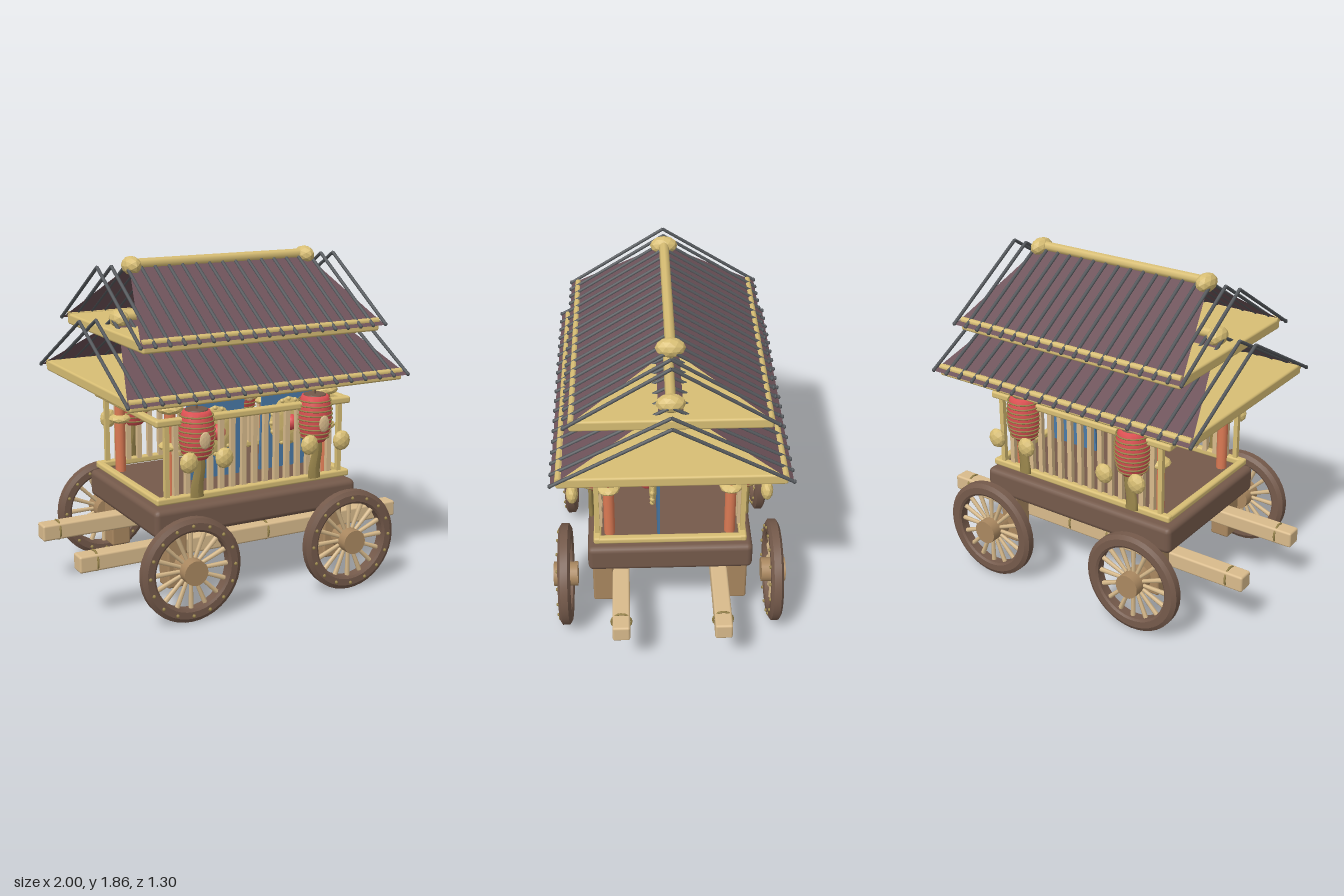
import * as THREE from 'three';
import { toCreasedNormals } from 'three/addons/utils/BufferGeometryUtils.js';
import { RoundedBoxGeometry } from 'three/addons/geometries/RoundedBoxGeometry.js';

const paint = (name, color, side = THREE.FrontSide) => {
  const m = new THREE.MeshStandardMaterial({ color, side });
  m.name = name;
  return m;
};

export function createModel() {
  const M = {
    gold: paint('gold', 0xd8be74),
    roof: paint('plum roof', 0x6d5259, THREE.DoubleSide),
    iron: paint('dark iron', 0x54585c),
    brown: paint('dark brown', 0x755a4b),
    tan: paint('tan timber', 0xd9bb8c),
    wood: paint('mid wood', 0xaa8860),
    red: paint('lantern red', 0xdc5052),
    orange: paint('post orange', 0xdc7a54),
    blue: paint('panel blue', 0x4a7aa8, THREE.DoubleSide),
    khaki: paint('khaki', 0x9a864c),
  };
  const cart = new THREE.Group();
  cart.name = 'festivalCart';

  const add = (parent, name, geo, mat, x = 0, y = 0, z = 0) => {
    const mesh = new THREE.Mesh(geo, mat);
    mesh.name = name;
    mesh.position.set(x, y, z);
    parent.add(mesh);
    return mesh;
  };
  const group = (name, parent = cart) => {
    const g = new THREE.Group();
    g.name = name;
    parent.add(g);
    return g;
  };
  const box = (w, h, d) => new THREE.BoxGeometry(w, h, d);
  const rounded = (w, h, d, r) => new RoundedBoxGeometry(w, h, d, 2, r);
  // Faceted ellipsoid
  const knob = (rx, ry, rz) => {
    const g = new THREE.IcosahedronGeometry(1, 1).scale(rx, ry, rz);
    g.computeVertexNormals();
    return g;
  };
  // Round bar between two points
  const bar = (parent, name, a, b, r, mat) => {
    const from = new THREE.Vector3(...a), to = new THREE.Vector3(...b);
    const dir = to.clone().sub(from);
    const mesh = add(parent, name, new THREE.CylinderGeometry(r, r, dir.length(), 8), mat);
    mesh.position.copy(from).addScaledVector(dir, 0.5);
    mesh.quaternion.setFromUnitVectors(new THREE.Vector3(0, 1, 0), dir.normalize());
    return mesh;
  };

  // Chassis, legs and carrying beams
  add(cart, 'chassis', rounded(1.25, 0.155, 0.9, 0.03), M.brown, 0, 0.5, 0);
  for (const s of [-1, 1]) {
    for (const x of [-0.49, 0.49]) {
      add(cart, 'leg', rounded(0.115, 0.3, 0.115, 0.012), M.wood, x, 0.28, s * 0.373);
    }
    add(cart, 'carryingBeam', rounded(2, 0.092, 0.094, 0.012), M.tan, 0, 0.308, s * 0.273);
    for (const x of [-0.9, -0.13, 0.13, 0.9]) {
      const ring = add(cart, 'beamBand', new THREE.TorusGeometry(0.054, 0.006, 6, 16), M.khaki, x, 0.308, s * 0.273);
      ring.rotation.y = Math.PI / 2;
    }
  }

  // Wheels
  const rimProfile = [[0.213, -0.026], [0.225, -0.034], [0.262, -0.034], [0.285, -0.02], [0.285, 0.02],
    [0.262, 0.034], [0.225, 0.034], [0.213, 0.026], [0.213, -0.026]].map(p => new THREE.Vector2(...p));
  const rimGeo = toCreasedNormals(new THREE.LatheGeometry(rimProfile, 40).rotateX(Math.PI / 2), 0.4);
  const hubGeo = new THREE.CylinderGeometry(0.068, 0.068, 0.135, 20).rotateX(Math.PI / 2);
  const spokeGeo = new THREE.CylinderGeometry(0.014, 0.01, 0.17, 6).translate(0, 0.14, 0);
  const studGeo = new THREE.SphereGeometry(0.01, 6, 5);
  for (const x of [-0.49, 0.49]) for (const s of [-1, 1]) {
    const wheel = group('wheel');
    wheel.position.set(x, 0.286, s * 0.583);
    add(wheel, 'rim', rimGeo, M.brown);
    add(wheel, 'hub', hubGeo, M.wood);
    for (let i = 0; i < 16; i++) {
      const a = (i / 16) * Math.PI * 2;
      add(wheel, 'spoke', spokeGeo, M.tan).rotation.z = a;
      add(wheel, 'rimStud', studGeo, M.khaki, Math.sin(a) * 0.247, Math.cos(a) * 0.247, 0.036);
    }
  }

  // Railings: frames all round, balusters on the long sides
  const balusterGeo = box(0.028, 0.4, 0.026);
  for (const s of [-1, 1]) {
    for (const y of [0.613, 1.036]) {
      add(cart, 'longRail', rounded(1.2, 0.04, 0.042, 0.012), M.gold, 0, y, s * 0.395);
      add(cart, 'endRail', rounded(0.042, 0.036, 0.79, 0.012), M.gold, s * 0.58, y, 0);
    }
    for (const x of [-0.535, 0.535]) add(cart, 'cornerPost', box(0.026, 0.42, 0.026), M.gold, x, 0.825, s * 0.395);
    for (let i = 0; i < 15; i++) add(cart, 'baluster', balusterGeo, M.tan, (i - 7) * 0.068, 0.825, s * 0.382);
  }

  // Inner posts with gold collars
  for (const x of [-0.48, 0.48]) for (const z of [-0.33, 0.33]) {
    add(cart, 'post', new THREE.CylinderGeometry(0.03, 0.03, 0.52, 12), M.orange, x, 0.835, z);
    add(cart, 'postCap', knob(0.075, 0.032, 0.075), M.gold, x, 1.094, z);
    add(cart, 'postCollar', knob(0.064, 0.028, 0.064), M.gold, x, 0.89, z);
  }

  // Hanging lanterns, each with two gold bells and a tassel
  const lanternProfile = [[0, -0.13], [0.06, -0.13], [0.08, -0.1], [0.092, -0.045], [0.096, 0.01],
    [0.092, 0.06], [0.084, 0.1], [0.072, 0.13], [0, 0.13]].map(p => new THREE.Vector2(...p));
  const lanternGeo = new THREE.LatheGeometry(lanternProfile, 16);
  const bellGeo = knob(0.052, 0.057, 0.034);
  const tasselGeo = new THREE.CylinderGeometry(0.03, 0.04, 0.21, 8, 6);
  const tp = tasselGeo.attributes.position;
  for (let i = 0; i < tp.count; i++) {
    tp.setX(i, tp.getX(i) + 0.01 * Math.sin(tp.getY(i) * 22));
    tp.setZ(i, tp.getZ(i) * 0.4);
  }
  tasselGeo.computeVertexNormals();
  for (const x of [-0.365, 0.365]) for (const z of [-0.41, 0.41]) {
    const lantern = group('lantern');
    lantern.position.set(x, 0.96, z);
    add(lantern, 'lanternBody', lanternGeo, M.red);
    add(lantern, 'lanternCap', new THREE.CylinderGeometry(0.06, 0.068, 0.02, 16), M.brown, 0, 0.126, 0);
    for (let i = 0; i < 9; i++) {
      const y = -0.104 + i * 0.026;
      const r = 0.0985 - 1.25 * (y - 0.015) ** 2;
      add(lantern, 'lanternRib', new THREE.TorusGeometry(r, 0.0045, 6, 20).rotateX(Math.PI / 2), M.khaki, 0, y, 0);
    }
    add(lantern, 'lanternEmblem', knob(0.033, 0.048, 0.01), M.tan, 0, -0.014, 0.099);
    add(lantern, 'cord', new THREE.CylinderGeometry(0.005, 0.005, 0.1, 6), M.brown, 0, 0.17, 0);
    add(lantern, 'tassel', tasselGeo, M.khaki, 0, -0.235, Math.sign(z) * 0.02);
    for (const dx of [-0.103, 0.103]) add(lantern, 'bell', bellGeo, M.gold, dx, -0.115, Math.sign(z) * 0.117);
  }

  // Blue hanging panels with a studded gold gong and red boss
  const panelShape = new THREE.Shape([[-0.2, -0.28], [0.145, -0.28], [0.185, 0.27], [0, 0.285], [-0.18, 0.29]]
    .map(p => new THREE.Vector2(...p)));
  const panelGeo = new THREE.ExtrudeGeometry(panelShape, { depth: 0.014, bevelEnabled: false });
  for (const x of [-0.062, 0.415]) {
    add(cart, 'bluePanel', panelGeo, M.blue, x, 0.872, 0.055);
    const gong = group('gong');
    gong.position.set(x - 0.025, 0.866, 0.09);
    add(gong, 'gongDisc', knob(0.125, 0.146, 0.024), M.gold);
    for (let i = 0; i < 16; i++) {
      const a = (i / 16) * Math.PI * 2;
      add(gong, 'gongStud', new THREE.SphereGeometry(0.014, 8, 6), M.gold, Math.cos(a) * 0.112, Math.sin(a) * 0.132, 0.004);
    }
    add(gong, 'gongBoss', new THREE.SphereGeometry(0.046, 14, 10), M.red, 0, 0, 0.032);
  }

  // Two stacked roofs: slab, tapering slopes, rods, eave bars and ridge
  const buildRoof = (name, o) => {
    const roof = group(name);
    add(roof, 'eaveSlab', rounded(o.slabX * 2, 0.06, o.slabZ * 2, 0.012), M.gold, 0, o.slabY, 0);
    for (const s of [-1, 1]) {
      const yE = o.eaveY - 0.005, yR = o.ridgeY - 0.005, zE = s * o.eaveZ;
      const slope = new THREE.BufferGeometry();
      slope.setAttribute('position', new THREE.Float32BufferAttribute([
        -o.baseX, yE, zE, o.baseX, yE, zE, o.topX, yR, 0, -o.topX, yR, 0], 3));
      slope.setIndex(s > 0 ? [0, 1, 2, 0, 2, 3] : [0, 2, 1, 0, 3, 2]);
      slope.computeVertexNormals();
      add(roof, 'slope', slope, M.roof);
      for (let i = 0; i < 19; i++) {
        const x = o.rodX * (i / 9 - 1);
        bar(roof, 'roofRod', [x, o.eaveY, zE], [x, o.ridgeY, 0], 0.0095, M.iron);
        add(roof, 'rodTip', new THREE.SphereGeometry(0.012, 6, 5), M.iron, x, o.eaveY, zE);
      }
      // Eave bar sunk so the rods cross over it
      const z = o.eaveZ - 0.04;
      const y = o.eaveY + (o.ridgeY - o.eaveY) * 0.04 / o.eaveZ - 0.01;
      bar(roof, 'eaveBar', [-o.slabX, y, s * z], [o.slabX, y, s * z], 0.018, M.gold);
      add(roof, 'ridgeKnob', knob(0.05, 0.051, 0.077), M.gold, s * o.knobX, o.ridgeY - 0.002, 0);
    }
    bar(roof, 'ridgeBar', [-o.knobX, o.ridgeY + 0.006, 0], [o.knobX, o.ridgeY + 0.006, 0], 0.027, M.gold);
  };
  buildRoof('lowerRoof', { slabX: 0.82, slabZ: 0.585, slabY: 1.19, baseX: 0.84, topX: 0.62,
    eaveY: 1.195, eaveZ: 0.61, ridgeY: 1.53, rodX: 0.84, knobX: 0.615 });
  buildRoof('upperRoof', { slabX: 0.71, slabZ: 0.51, slabY: 1.46, baseX: 0.73, topX: 0.55,
    eaveY: 1.47, eaveZ: 0.535, ridgeY: 1.808, rodX: 0.733, knobX: 0.538 });

  return cart;
}
